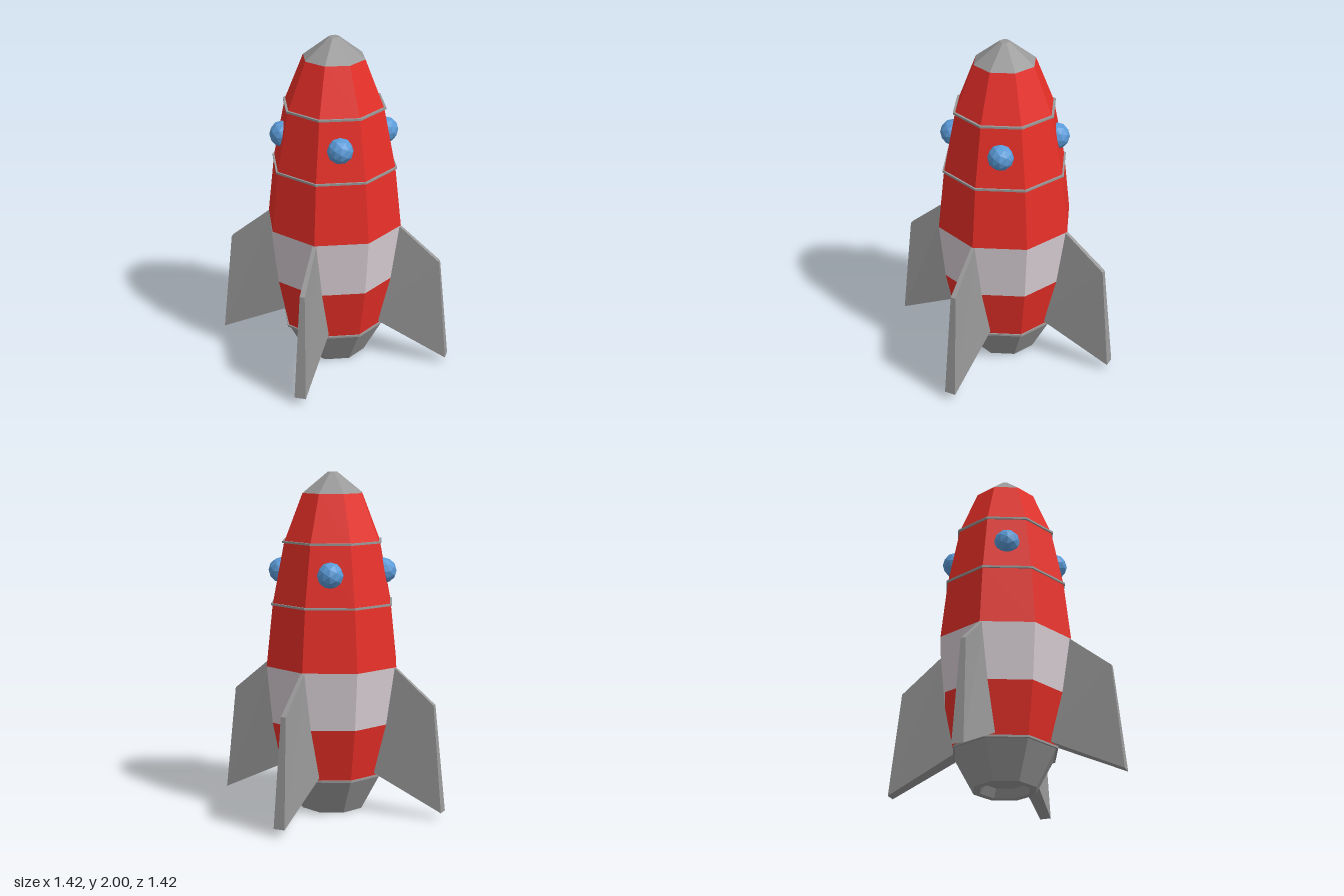
import * as THREE from 'three';

const paint = (color) => new THREE.MeshStandardMaterial({ color, flatShading: true });

export function createModel() {
  const rocket = new THREE.Group();
  rocket.name = 'rocket';
  const grey = paint(0x999999);
  const red = paint(0xe62e27);
  const white = paint(0xd8ced4);
  const blue = paint(0x5b9bd8);

  const add = (name, geometry, material, parent = rocket) => {
    const mesh = new THREE.Mesh(geometry, material);
    mesh.name = name;
    parent.add(mesh);
    return mesh;
  };
  // Eight-sided turned section, profile [radius, y] listed upwards
  const turned = (profile) =>
    new THREE.LatheGeometry(profile.map(([r, y]) => new THREE.Vector2(r, y)), 8);

  // Hull sections
  add('nozzle', turned([[0, 0.05], [0.12, 0.05], [0.15, 0], [0.19, 0], [0.31, 0.22]]), grey);
  add('lowerHull', turned([[0.31, 0.22], [0.375, 0.535]]), red);
  add('hullBand', turned([[0.375, 0.535], [0.41, 0.875]]), white);
  add('upperHull', turned([[0.41, 0.875], [0.37, 1.24], [0.298, 1.6], [0.185, 1.88]]), red);
  add('noseCap', turned([[0.185, 1.88], [0.03, 2], [0, 2]]), grey);

  // Thin seam rings around the hull
  for (const [r, y] of [[0.32, 0.22], [0.38, 1.24], [0.31, 1.6]]) {
    const i = r - 0.03, h = 0.006;
    add('seamRing', turned([[i, y - h], [r, y - h], [r, y + h], [i, y + h]]), grey);
  }

  // Fin: a box with its corners moved to [reach, height, half thickness]
  const finGeometry = new THREE.BoxGeometry(1, 1, 1);
  const corners = {
    innerTop: [0.38, 0.893, 0.011], outerTop: [0.65, 0.67, 0.015],
    innerBottom: [0.25, 0.26, 0.053], outerBottom: [0.71, 0.04, 0.034],
  };
  const p = finGeometry.attributes.position;
  for (let i = 0; i < p.count; i++) {
    const key = (p.getX(i) > 0 ? 'outer' : 'inner') + (p.getY(i) > 0 ? 'Top' : 'Bottom');
    const [x, y, half] = corners[key];
    p.setXYZ(i, x, y, Math.sign(p.getZ(i)) * half);
  }
  finGeometry.computeVertexNormals();

  // Four fins on the hull edges, four round windows on every other facet
  const windowGeometry = new THREE.IcosahedronGeometry(0.077, 1);
  for (let k = 0; k < 4; k++) {
    const turn = (k * Math.PI) / 2;
    add('fin', finGeometry, grey).rotation.y = turn;

    const mount = new THREE.Group();
    mount.name = 'windowMount';
    mount.rotation.y = turn + Math.PI / 8;
    rocket.add(mount);
    add('window', windowGeometry, blue, mount).position.set(0, 1.425, 0.3);
  }
  return rocket;
}
